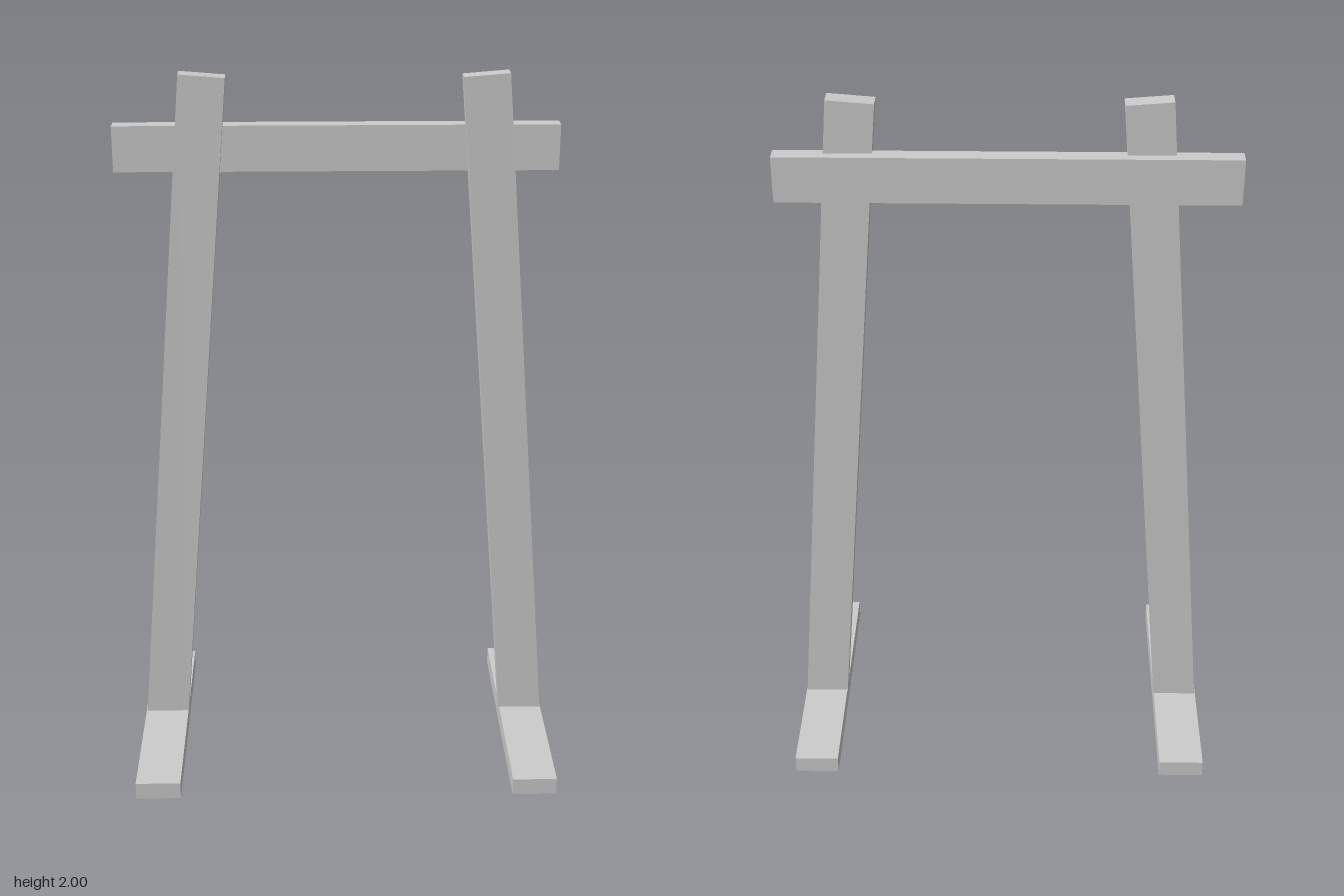
import * as THREE from 'three';

const material = new THREE.MeshStandardMaterial({ color: 0xcccccc, flatShading: true });

// Plank given by its extents on each axis
function plank(name, [x0, x1], [y0, y1], [z0, z1]) {
  const mesh = new THREE.Mesh(new THREE.BoxGeometry(x1 - x0, y1 - y0, z1 - z0), material);
  mesh.position.set((x0 + x1) / 2, (y0 + y1) / 2, (z0 + z1) / 2);
  mesh.name = name;
  return mesh;
}

// Leaning post: outline in the front plane, extruded to the plank thickness
function post(name, side, shift) {
  const outline = [[0.605, 0.02], [0.441, 2], [0.316, 1.99], [0.48, 0.01]]
    .map(([x, y]) => new THREE.Vector2(side * x + shift, y));
  const geometry = new THREE.ExtrudeGeometry(new THREE.Shape(outline), { depth: 0.05, bevelEnabled: false });
  geometry.translate(0, 0, -0.066);
  const mesh = new THREE.Mesh(geometry, material);
  mesh.name = name;
  return mesh;
}

export function createModel() {
  const group = new THREE.Group();
  group.name = 'standFrame';

  // Feet lying front to back, one under each post
  group.add(plank('rightFoot', [-0.596, -0.468], [0, 0.05], [-0.373, 0.373]));
  group.add(plank('leftFoot', [0.487, 0.613], [0, 0.05], [-0.373, 0.373]));

  // Posts leaning towards each other
  group.add(post('rightPost', -1, 0.009));
  group.add(post('leftPost', 1, 0.009));

  // Crossbar set into the back of the posts
  group.add(plank('crossbar', [-0.617, 0.594], [1.73, 1.856], [-0.093, -0.046]));

  return group;
}
